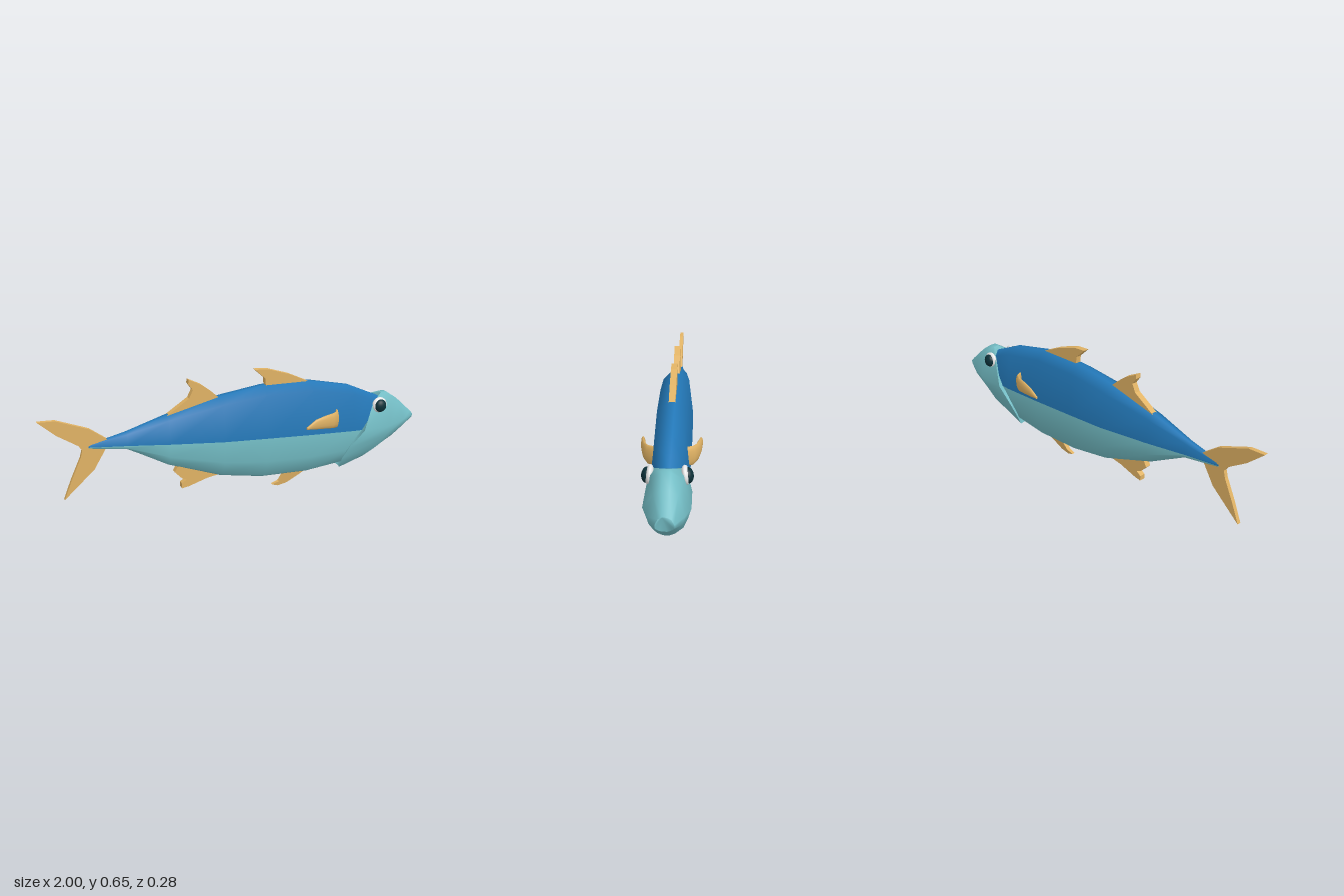
import * as THREE from 'three';

const mat = (name, color) => {
  const m = new THREE.MeshStandardMaterial({ color });
  m.name = name;
  return m;
};

// Skin closed rings ordered along +x, each running top, +z side, bottom, -z side.
// isSecond(j, n) sends a lengthwise strip to the second material group.
function loft(rings, { caps = true, isSecond = () => false } = {}) {
  const n = rings[0].length, pos = rings.flat(2), lists = [[], []];
  for (let i = 0; i < rings.length - 1; i++) {
    for (let j = 0; j < n; j++) {
      const k = (j + 1) % n, a = i * n + j, b = i * n + k;
      lists[isSecond(j, n) ? 1 : 0].push(a, b, a + n, b, b + n, a + n);
    }
  }
  if (caps) {
    for (const [ring, last] of [[rings[0], false], [rings[rings.length - 1], true]]) {
      const base = pos.length / 3;
      pos.push(...ring.flat());
      for (let j = 1; j < n - 1; j++) {
        lists[0].push(base, base + (last ? j : j + 1), base + (last ? j + 1 : j));
      }
    }
  }
  const g = new THREE.BufferGeometry();
  g.setAttribute('position', new THREE.Float32BufferAttribute(pos, 3));
  g.setIndex([...lists[0], ...lists[1]]);
  g.addGroup(0, lists[0].length, 0);
  g.addGroup(lists[0].length, lists[1].length, 1);
  g.computeVertexNormals();
  return g;
}

// Complete a half ring by mirroring it across z
const mirrorRing = half => [...half, ...half.slice().reverse().map(([x, y, z]) => [x, y, -z])];

// Flat fin cut from an outline in the xy plane
function finGeometry(points, halfThickness) {
  const shape = new THREE.Shape(points.map(([x, y]) => new THREE.Vector2(x, y)));
  const g = new THREE.ExtrudeGeometry(shape, { depth: 2 * halfThickness, bevelEnabled: false });
  return g.translate(0, 0, -halfThickness);
}

export function createModel() {
  const model = new THREE.Group();
  model.name = 'fish';
  const blue = mat('back blue', 0x2378b8);
  const teal = mat('belly teal', 0x74bec6);
  const gold = mat('fin gold', 0xe0b264);
  const white = mat('eye white', 0xe8e8e8);
  const dark = mat('eye dark', 0x0c3038);
  const add = (name, geometry, material) => {
    const m = new THREE.Mesh(geometry, material);
    m.name = name;
    model.add(m);
    return m;
  };

  // Body: x, top, bottom, half width; the colour line falls gently toward the head
  const sections = [
    [-0.78, 0.386, 0.368, 0.012], [-0.6, 0.425, 0.34, 0.031], [-0.4, 0.482, 0.225, 0.06],
    [-0.13, 0.542, 0.122, 0.088], [0.1, 0.57, 0.075, 0.09], [0.36, 0.563, 0.061, 0.09],
    [0.6, 0.51, 0.082, 0.085], [0.7, 0.465, 0.13, 0.076], [0.8, 0.422, 0.2, 0.06],
  ];
  const bodyRings = sections.map(([x, t, b, w]) => {
    const m = 0.376 - (x + 0.78) * 0.072;
    return mirrorRing([
      [x, t, 0.15 * w], [x, t - 0.15 * (t - m), 0.75 * w], [x, m, w],
      [x, b + 0.45 * (m - b), 0.88 * w], [x, b + 0.1 * (m - b), 0.6 * w], [x, b, 0.15 * w],
    ]);
  });
  add('body', loft(bodyRings, { isSecond: (j, n) => j < 2 || j >= n - 3 }), [teal, blue]);

  // Head: slanted gill edge forward to the blunt snout
  const headRings = [
    [[0.8, 0.445, 0.015], [0.715, 0.41, 0.075], [0.66, 0.275, 0.1], [0.58, 0.19, 0.092],
      [0.54, 0.13, 0.082], [0.54, 0.068, 0.055], [0.56, 0.057, 0.012]],
    [[0.835, 0.445, 0.018], [0.83, 0.415, 0.065], [0.82, 0.28, 0.1], [0.8, 0.22, 0.085],
      [0.75, 0.15, 0.065], [0.69, 0.105, 0.045], [0.63, 0.07, 0.012]],
    [[0.9, 0.402, 0.016], [0.9, 0.38, 0.05], [0.92, 0.295, 0.076], [0.915, 0.26, 0.068],
      [0.9, 0.228, 0.052], [0.87, 0.192, 0.036], [0.84, 0.165, 0.012]],
    [[0.985, 0.327, 0.01], [0.99, 0.32, 0.026], [1, 0.303, 0.038], [0.997, 0.287, 0.038],
      [0.988, 0.275, 0.03], [0.982, 0.267, 0.02], [0.978, 0.262, 0.01]],
  ];
  add('head', loft(headRings.map(mirrorRing)), teal);

  // Lip joining the gill edge to the body
  const inner = headRings[0].map(([x, y, z]) => [x + 0.03, 0.27 + (y - 0.27) * 0.95, z * 0.85]);
  add('gillLip', loft([inner, headRings[0]].map(mirrorRing), { caps: false }), teal);

  // Fins on the centre line
  add('frontDorsalFin', finGeometry([
    [0.37, 0.555], [0.25, 0.611], [0.13, 0.65], [0.06, 0.655], [0.085, 0.632],
    [0.115, 0.605], [0.12, 0.555],
  ], 0.015), gold);
  add('rearDorsalFin', finGeometry([
    [-0.13, 0.535], [-0.165, 0.568], [-0.22, 0.612], [-0.285, 0.645], [-0.288, 0.625],
    [-0.265, 0.592], [-0.285, 0.552], [-0.4, 0.478], [-0.25, 0.5],
  ], 0.015), gold);
  add('tailFin', finGeometry([
    [-0.68, 0.395], [-0.77, 0.465], [-0.92, 0.526], [-1, 0.53], [-0.92, 0.455],
    [-0.825, 0.39], [-0.81, 0.365], [-0.82, 0.33], [-0.87, 0.225], [-0.91, 0.13],
    [-0.76, 0.262], [-0.69, 0.375],
  ], 0.01), gold);
  add('analFin', finGeometry([
    [-0.13, 0.13], [-0.2, 0.12], [-0.3, 0.091], [-0.335, 0.086], [-0.335, 0.112],
    [-0.31, 0.13], [-0.335, 0.142], [-0.37, 0.18], [-0.35, 0.215], [-0.2, 0.16],
  ], 0.015), gold);
  const pelvic = finGeometry([
    [0.36, 0.07], [0.25, 0.01], [0.2, 0], [0.165, 0.012], [0.205, 0.025], [0.24, 0.07],
  ], 0.015);
  // Narrow the pelvic fin toward its tip
  const p = pelvic.attributes.position;
  for (let i = 0; i < p.count; i++) p.setZ(i, p.getZ(i) * (0.45 + 9 * p.getY(i)));
  pelvic.computeVertexNormals();
  add('pelvicFin', pelvic, gold);

  // Pectoral fins: x, z, top, bottom, half thickness from tip to root
  const stations = [
    [0.295, 0.133, 0.358, 0.346, 0.006], [0.345, 0.133, 0.393, 0.341, 0.009],
    [0.4, 0.128, 0.405, 0.335, 0.011], [0.45, 0.118, 0.408, 0.327, 0.012],
    [0.485, 0.1, 0.41, 0.319, 0.012], [0.5, 0.068, 0.41, 0.315, 0.012],
  ];
  const finRings = stations.map(([x, z, t, b, h], i) => {
    const prev = stations[Math.max(i - 1, 0)], next = stations[Math.min(i + 1, stations.length - 1)];
    const dx = next[0] - prev[0], dz = next[1] - prev[1], len = Math.hypot(dx, dz);
    return Array.from({ length: 12 }, (_, k) => {
      const a = k * Math.PI / 6, s = Math.sin(a) * h / len;
      return [x - dz * s, (t + b) / 2 + Math.cos(a) * (t - b) / 2, z + dx * s];
    });
  });
  const mirroredFin = finRings.map(r => r.map(([x, y, z]) => [x, y, -z]).reverse());
  add('rightPectoralFin', loft(finRings), gold);
  add('leftPectoralFin', loft(mirroredFin), gold);

  // Eyes: flattened white ball with a dark ball set into it
  for (const [side, s] of [['right', 1], ['left', -1]]) {
    const eyeWhite = add(side + 'EyeWhite', new THREE.SphereGeometry(1, 24, 16), white);
    eyeWhite.scale.set(0.043, 0.041, 0.018);
    eyeWhite.position.set(0.757, 0.399, s * 0.074);
    eyeWhite.rotation.x = -s * 0.15;
    const pupil = add(side + 'EyePupil', new THREE.SphereGeometry(1, 24, 16), dark);
    pupil.scale.set(0.033, 0.034, 0.023);
    pupil.position.set(0.757, 0.397, s * 0.084);
    pupil.rotation.x = -s * 0.1;
  }
  return model;
}
